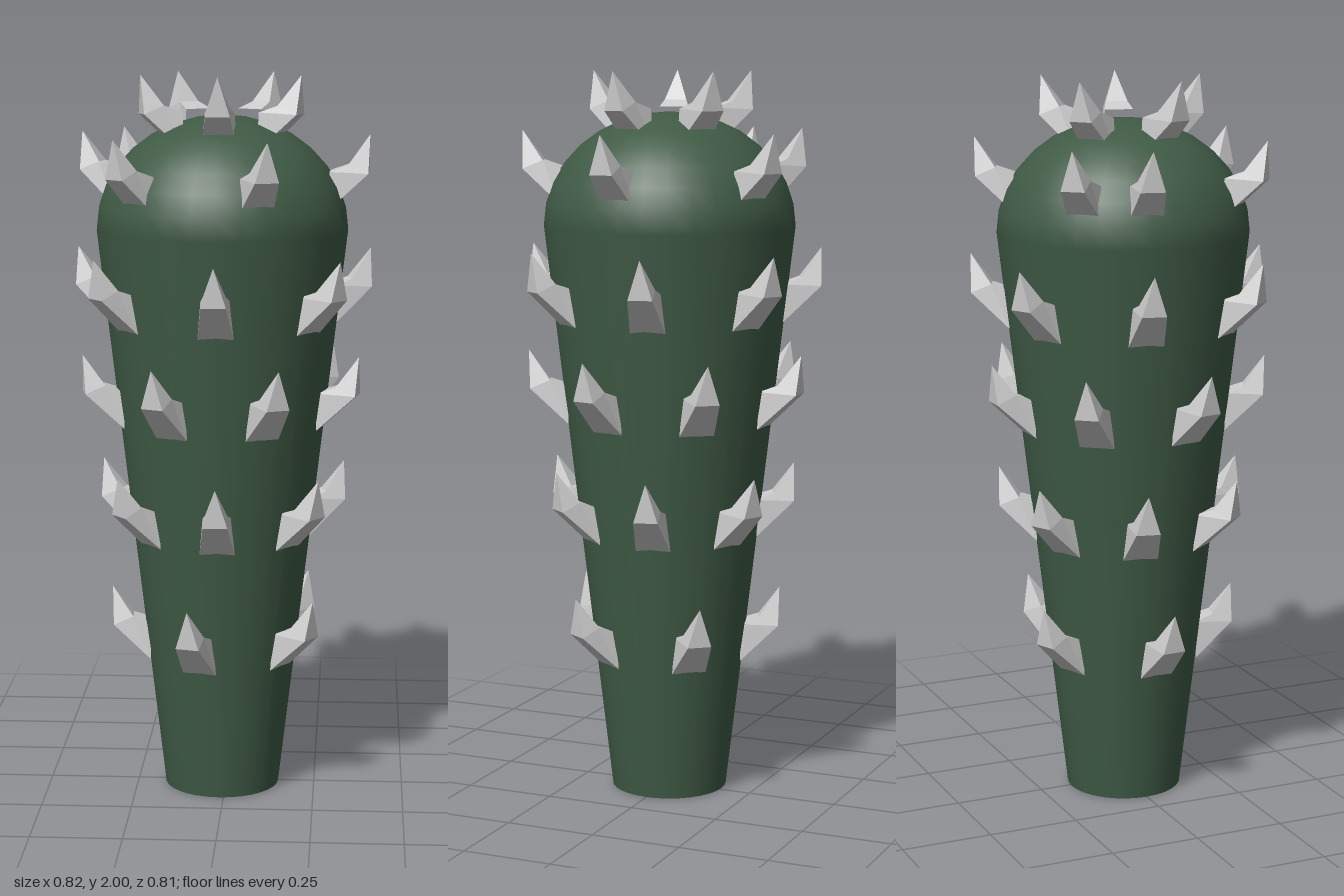
import * as THREE from 'three';

const green = new THREE.MeshStandardMaterial({ color: 0x3f5a45 });
const grey = new THREE.MeshStandardMaterial({ color: 0xcccccc, flatShading: true });

// Four-sided thorn: grows out along +z, then bends up to a point
function thornGeometry() {
  const base = [[-0.048, -0.052, -0.015], [0.048, -0.052, -0.015], [0.04, 0.05, -0.015], [-0.04, 0.05, -0.015]];
  const elbow = [[-0.033, 0.045, 0.09], [0.033, 0.045, 0.09], [0.03, 0.068, 0.035], [-0.03, 0.068, 0.035]];
  const tip = [0, 0.15, 0.093];
  const p = [];
  for (let i = 0; i < 4; i++) {
    const j = (i + 1) % 4;
    p.push(...base[i], ...base[j], ...elbow[j]);
    p.push(...base[i], ...elbow[j], ...elbow[i]);
    p.push(...elbow[i], ...elbow[j], ...tip);
  }
  const g = new THREE.BufferGeometry();
  g.setAttribute('position', new THREE.Float32BufferAttribute(p, 3));
  g.computeVertexNormals();
  return g;
}

// Evenly spaced angles in degrees
const even = (count, start) => Array.from({ length: count }, (_, i) => start + (360 / count) * i);

export function createModel() {
  const model = new THREE.Group();
  const plant = new THREE.Group();
  plant.name = 'spikedClub';
  plant.position.x = -0.012;
  model.add(plant);

  // Tapered trunk with a rounded top
  const r0 = 0.16, r1 = 0.345, shoulder = 1.58, domeHeight = 0.31;
  const profile = [new THREE.Vector2(r0, 0)];
  for (let i = 0; i <= 8; i++) {
    const a = (i / 8) * Math.PI / 2;
    profile.push(new THREE.Vector2(i === 8 ? 0 : r1 * Math.cos(a), shoulder + domeHeight * Math.sin(a)));
  }
  const trunk = new THREE.Mesh(new THREE.LatheGeometry(profile, 32), green);
  trunk.name = 'trunk';
  plant.add(trunk);

  const bottom = new THREE.Mesh(new THREE.CircleGeometry(r0, 32), green);
  bottom.name = 'trunkBottom';
  bottom.rotation.x = Math.PI / 2;
  plant.add(bottom);

  // Rings of thorns: base height, base radius, angles around the trunk
  const rings = [
    [0.42, 0.215, even(5, -15)],
    [0.77, 0.255, even(7, 0)],
    [1.09, 0.295, even(7, 180 / 7)],
    [1.37, 0.325, even(7, 0)],
    [1.69, 0.31, [-103, -42, 20, 87, 156, 227]],
    [1.85, 0.135, even(5, 0)],
  ];
  const thorn = thornGeometry();
  rings.forEach(([y, r, angles], k) => {
    const ring = new THREE.Group();
    ring.name = `thornRing${k + 1}`;
    for (const deg of angles) {
      const a = THREE.MathUtils.degToRad(deg);
      const m = new THREE.Mesh(thorn, grey);
      m.name = 'thorn';
      m.position.set(r * Math.sin(a), y, r * Math.cos(a));
      m.rotation.y = a;
      ring.add(m);
    }
    plant.add(ring);
  });
  return model;
}
